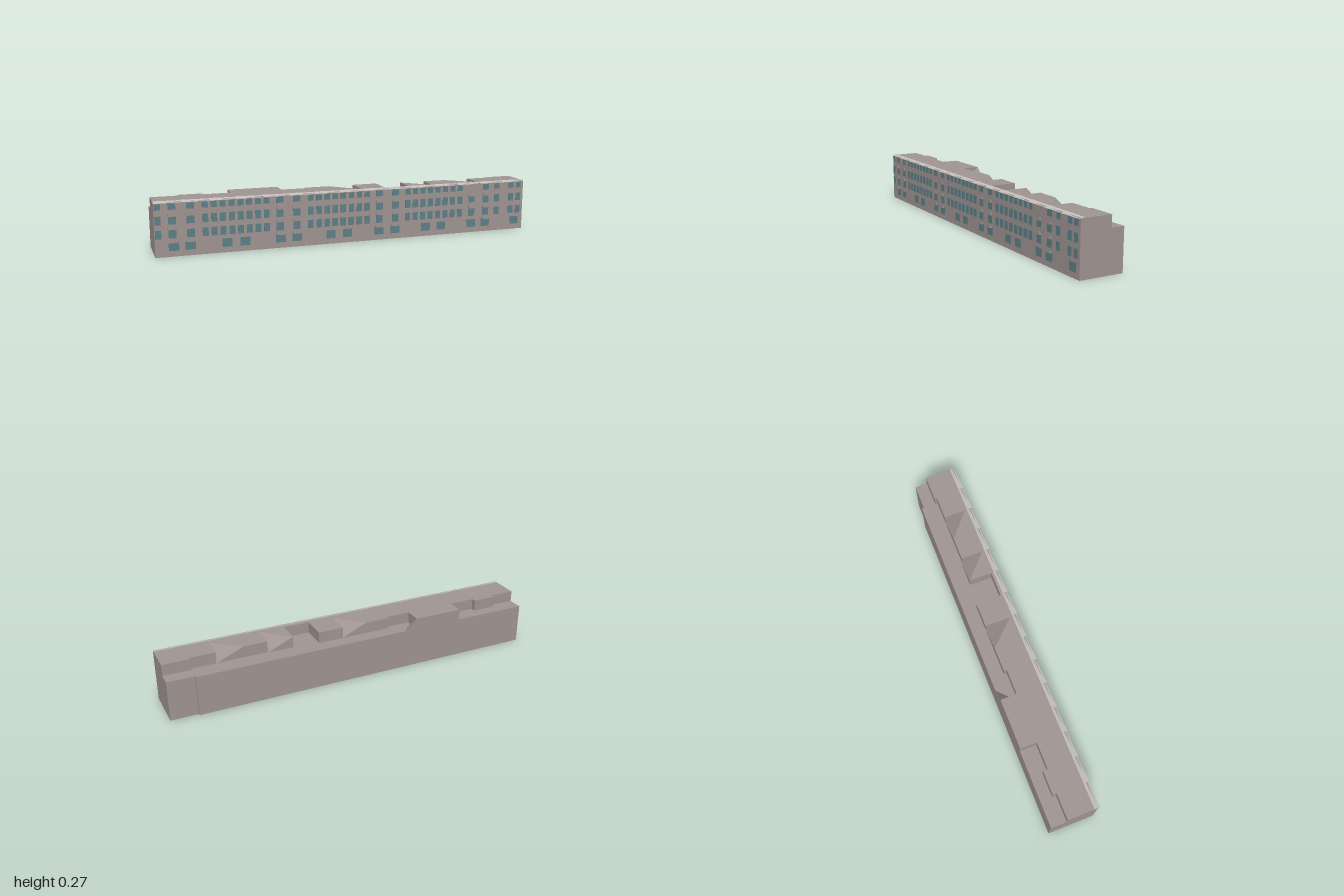
import * as THREE from 'three';
import { ConvexGeometry } from 'three/addons/geometries/ConvexGeometry.js';

export function createModel() {
  const mat = (name, color) => Object.assign(new THREE.MeshStandardMaterial({ color }), { name });
  const stone = mat('stone', 0x9f9491);
  const glass = mat('glass', 0x5c7f86);
  const pale = mat('pale cornice', 0xc4bfbc);
  const model = new THREE.Group();
  model.name = 'terraceBuilding';

  const FRONT = 0.113, SHELF = 0.21, TOP = 0.269, BAY = 2 / 15;

  function add(name, geometry, material) {
    const mesh = new THREE.Mesh(geometry, material);
    mesh.name = name;
    model.add(mesh);
    return mesh;
  }
  // Box given by its limits on each axis
  function block(name, x0, x1, y0, y1, z0, z1, material = stone) {
    const g = new THREE.BoxGeometry(x1 - x0, y1 - y0, z1 - z0);
    g.translate((x0 + x1) / 2, (y0 + y1) / 2, (z0 + z1) / 2);
    return add(name, g, material);
  }
  // Faceted solid around a few corner points
  function solid(name, points, material = stone) {
    return add(name, new ConvexGeometry(points.map(p => new THREE.Vector3(...p))), material);
  }

  // Lower storeys, with the narrower end
  block('mainBody', -1, 0.86, 0, SHELF, -0.127, FRONT);
  block('endBody', 0.86, 1, 0, SHELF, -0.115, FRONT);

  // Front strip of the top storey
  block('frontParapet', -1, 1, SHELF, TOP, 0.08, FRONT);

  // Set-back roof blocks: x range, back edge; a wedge loses its back right corner
  const roofs = [
    [-1, -0.865, -0.045], [-0.865, -0.74, -0.065], [-0.74, -0.6, -0.04],
    [-0.6, -0.335, -0.127], [-0.335, -0.2, -0.04], [-0.2, -0.07, -0.055],
    [-0.07, 0.06, -0.055, true], [0.06, 0.195, -0.055],
    [0.33, 0.465, -0.04, true], [0.465, 0.59, -0.035],
    [0.59, 0.73, -0.035, true], [0.73, 0.86, -0.035], [0.86, 1, -0.048],
  ];
  for (const [x0, x1, back, wedge] of roofs) {
    if (!wedge) {
      block('roofBlock', x0, x1, SHELF, TOP, back, 0.08);
      continue;
    }
    solid('roofWedge', [
      [x0, SHELF, back], [x1, SHELF, back], [x0, SHELF, 0.08], [x1, SHELF, 0.08],
      [x0, TOP, back], [x0, TOP, 0.08], [x1, TOP, 0.08],
    ]);
  }
  // Small ramp beside the full-depth roof block
  solid('roofRamp', [
    [-0.335, TOP, -0.127], [-0.335, SHELF, -0.127], [-0.265, SHELF, -0.127], [-0.335, SHELF, -0.06],
  ]);

  // Saw-tooth cornice along the front
  for (let i = 0; i < 15; i++) {
    const x0 = -1 + i * BAY, x1 = x0 + BAY;
    solid('cornice', [
      [x0, 0.267, FRONT], [x1, 0.267, FRONT], [x0, 0.274, FRONT - 0.02], [x1, 0.272, FRONT - 0.02],
      [x0, 0.267, FRONT + 0.011], [x1, 0.266, FRONT + 0.004],
    ], pale);
  }

  // Window plates on the front wall
  function windowPane(x, y, w, h) {
    block('window', x - w / 2, x + w / 2, y - h / 2, y + h / 2, FRONT - 0.002, FRONT + 0.002, glass);
  }
  const rows = [[0.247, 0.03], [0.181, 0.042], [0.112, 0.042]];

  // Plain upper windows in three runs of eight, and at the ends
  const columns = [-0.982, 0.838, 0.925, 0.97];
  for (const start of [-0.755, -0.222, 0.31])
    for (let i = 0; i < 8; i++) columns.push(start + i * 0.0436);
  for (const x of columns)
    for (const [y, h] of rows) windowPane(x, y, 0.029, h);

  // Wider ground-floor windows
  for (const x of [-0.91, -0.83, -0.65, -0.56, -0.38, -0.295, -0.115, -0.025,
    0.15, 0.24, 0.415, 0.505, 0.685, 0.77, 0.95]) windowPane(x, 0.05, 0.05, 0.042);

  // Projecting window boxes with a sloping underside
  function windowBox(x, y) {
    const pts = [];
    for (const px of [x - 0.022, x + 0.022])
      pts.push([px, y, FRONT], [px, y, 0.127], [px, y + 0.019, 0.127]);
    solid('windowBox', pts);
  }
  for (const x of [-0.914, -0.826, -0.382, -0.295, 0.15, 0.24, 0.685, 0.77]) {
    const short = x === 0.685;
    for (const [y, h] of short ? [[0.187, 0.042], [0.112, 0.042]] : rows) windowPane(x, y, 0.037, h);
    for (const y of short ? [0.135, 0.2] : [0.07, 0.135, 0.2]) windowBox(x, y);
  }
  return model;
}
